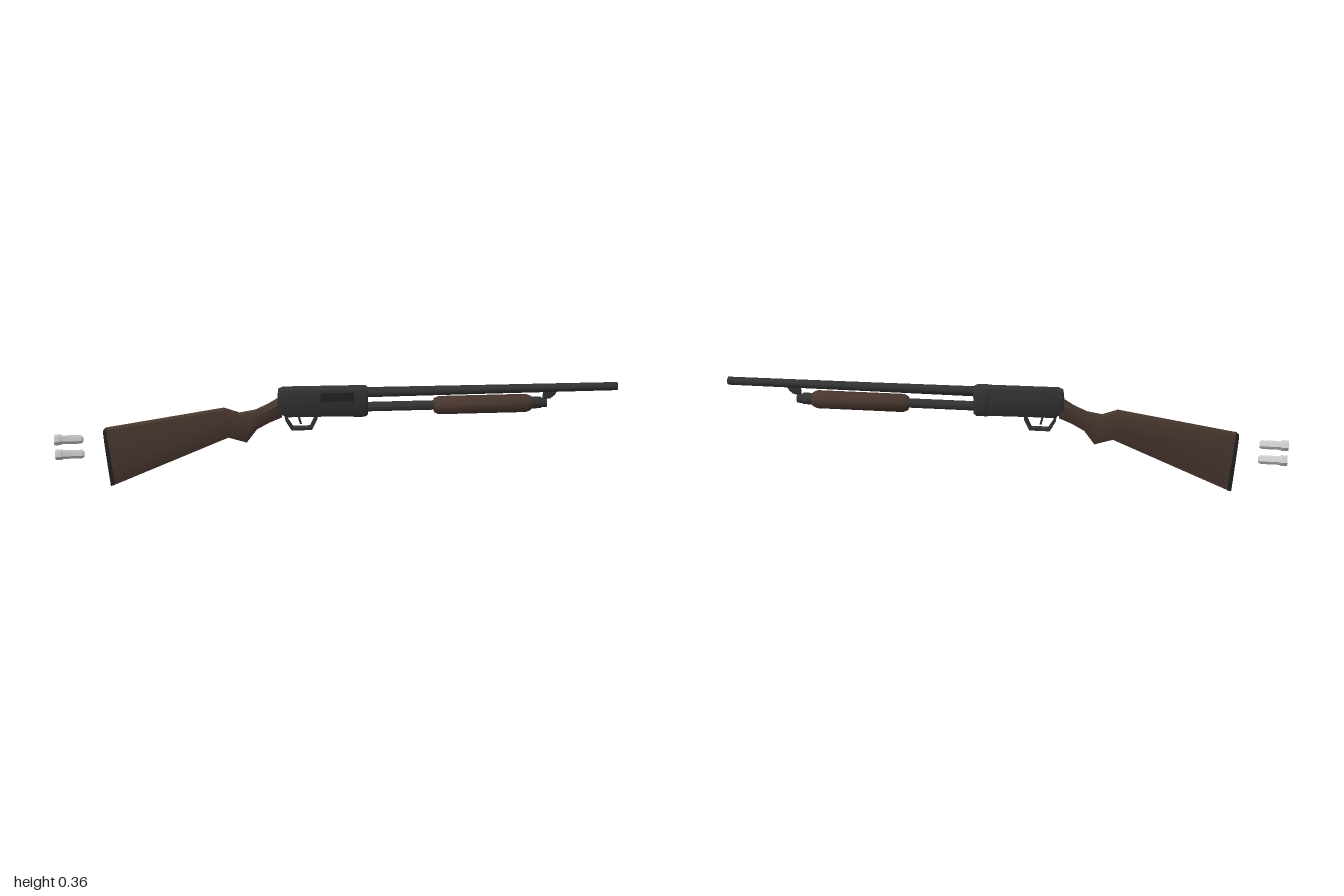
import * as THREE from 'three';
import { toCreasedNormals } from 'three/addons/utils/BufferGeometryUtils.js';

const material = (color) => new THREE.MeshStandardMaterial({ color, side: THREE.DoubleSide });
const metal = material(0x333333);
const wood = material(0x49372f);
const pad = material(0x222222);
const shell = material(0xcccccc);

// Solid lofted along x. Section: [xTop, yTop, xBottom, yBottom, half width, top half width, bottom half width]
function loft(sections) {
  const pos = [];
  const index = [];
  const n = 8;
  for (const [xt, yt, xb, yb, w, wt, wb] of sections) {
    const ring = [[1, wt], [0.78, w], [0.22, w], [0, wb], [0, -wb], [0.22, -w], [0.78, -w], [1, -wt]];
    for (const [t, z] of ring) pos.push(xb + (xt - xb) * t, yb + (yt - yb) * t, z);
  }
  const last = (sections.length - 1) * n;
  for (let i = 0; i < last; i += n) {
    for (let j = 0; j < n; j++) {
      const k = (j + 1) % n;
      index.push(i + j, i + k, i + n + j, i + k, i + n + k, i + n + j);
    }
  }
  for (let j = 1; j < n - 1; j++) {
    index.push(0, j + 1, j, last, last + j, last + j + 1);
  }
  const g = new THREE.BufferGeometry();
  g.setAttribute('position', new THREE.Float32BufferAttribute(pos, 3));
  g.setIndex(index);
  return toCreasedNormals(g, 0.5);
}

// Turned solid along x from [x, radius] points
function turned(points, sides) {
  const profile = points.map(([x, r]) => new THREE.Vector2(r, x));
  const g = new THREE.LatheGeometry(profile, sides).rotateZ(-Math.PI / 2);
  return toCreasedNormals(g, 0.9);
}

export function createModel() {
  const group = new THREE.Group();
  const add = (name, geometry, mat, x = 0, y = 0, z = 0) => {
    const mesh = new THREE.Mesh(geometry, mat);
    mesh.name = name;
    mesh.position.set(x, y, z);
    group.add(mesh);
    return mesh;
  };

  // Shoulder stock with grip
  add('stock', loft([
    [-0.815, 0.218, -0.797, 0.005, 0.02, 0.013, 0.017],
    [-0.4, 0.284, -0.387, 0.178, 0.02, 0.012, 0.014],
    [-0.345, 0.264, -0.322, 0.156, 0.019, 0.011, 0.012],
    [-0.29, 0.274, -0.285, 0.206, 0.017, 0.01, 0.011],
    [-0.245, 0.295, -0.24, 0.232, 0.018, 0.01, 0.012],
    [-0.195, 0.325, -0.195, 0.252, 0.021, 0.012, 0.015],
  ]), wood);
  add('buttPad', loft([
    [-0.827, 0.21, -0.812, 0, 0.019, 0.012, 0.017],
    [-0.815, 0.219, -0.797, 0.004, 0.0205, 0.0135, 0.0175],
  ]), pad);

  // Receiver
  add('receiver', loft([
    [-0.206, 0.352, -0.215, 0.272, 0.021, 0.014, 0.013],
    [-0.19, 0.357, -0.18, 0.254, 0.025, 0.018, 0.018],
    [0.06, 0.354, 0.06, 0.252, 0.027, 0.021, 0.021],
  ]), metal);
  add('receiverFront', loft([
    [0.058, 0.355, 0.058, 0.25, 0.03, 0.022, 0.022],
    [0.098, 0.354, 0.098, 0.25, 0.03, 0.022, 0.022],
    [0.108, 0.35, 0.108, 0.256, 0.025, 0.018, 0.018],
  ]), metal);
  add('ejectionPort', new THREE.BoxGeometry(0.12, 0.032, 0.006), pad, 0, 0.329, 0.0255).rotation.x = -0.12;

  // Barrel with hollow muzzle
  const barrel = add('barrel', turned(
    [[0.08, 0], [0.08, 0.018], [0.5, 0.016], [1, 0.0145], [1, 0.01], [0.96, 0.01], [0.96, 0]], 8
  ), metal, 0, 0.335);
  barrel.rotation.x = Math.PI / 8;

  // Magazine tube, its cap and the bracket to the barrel
  add('magazineTube', turned([[0.08, 0], [0.08, 0.018], [0.7, 0.018], [0.7, 0]], 8), metal, 0, 0.279);
  add('magazineCap', turned(
    [[0.68, 0], [0.68, 0.023], [0.725, 0.022], [0.73, 0.018], [0.748, 0.018], [0.748, 0]], 8
  ), metal, 0, 0.279);
  add('barrelBracket', loft([
    [0.735, 0.326, 0.735, 0.294, 0.007, 0.006, 0.006],
    [0.76, 0.326, 0.76, 0.296, 0.007, 0.006, 0.006],
    [0.785, 0.326, 0.775, 0.308, 0.006, 0.005, 0.005],
  ]), metal);

  // Sliding fore-end and its action bars
  add('foreEnd', turned(
    [[0.345, 0], [0.345, 0.025], [0.362, 0.0325], [0.675, 0.0325], [0.692, 0.025], [0.692, 0]], 8
  ), wood, 0, 0.278).rotation.x = Math.PI / 8;
  for (const side of [-1, 1]) {
    add('actionBar', new THREE.BoxGeometry(0.27, 0.01, 0.005), metal, 0.225, 0.281, side * 0.019);
  }

  // Trigger guard loop with rectangular cutout
  const guard = new THREE.Shape([
    [-0.188, 0.262], [-0.183, 0.235], [-0.162, 0.198], [-0.09, 0.198], [-0.07, 0.24], [-0.07, 0.262],
  ].map((p) => new THREE.Vector2(...p)));
  guard.holes.push(new THREE.Path([
    [-0.175, 0.25], [-0.08, 0.25], [-0.08, 0.242], [-0.096, 0.207], [-0.156, 0.207], [-0.174, 0.237],
  ].map((p) => new THREE.Vector2(...p))));
  add('triggerGuard', new THREE.ExtrudeGeometry(guard, { depth: 0.022, bevelEnabled: false }), metal, 0, 0, -0.011);
  const trigger = add('trigger', new THREE.BoxGeometry(0.007, 0.034, 0.008), metal, -0.133, 0.236);
  trigger.rotation.z = 0.25;

  // Two loose cartridges behind the stock
  for (const y of [0.18, 0.122]) {
    add('cartridge', turned(
      [[-1, 0], [-1, 0.019], [-0.978, 0.019], [-0.974, 0.0155], [-0.908, 0.0155], [-0.9, 0.011], [-0.9, 0]], 6
    ), shell, 0, y);
  }

  return group;
}
